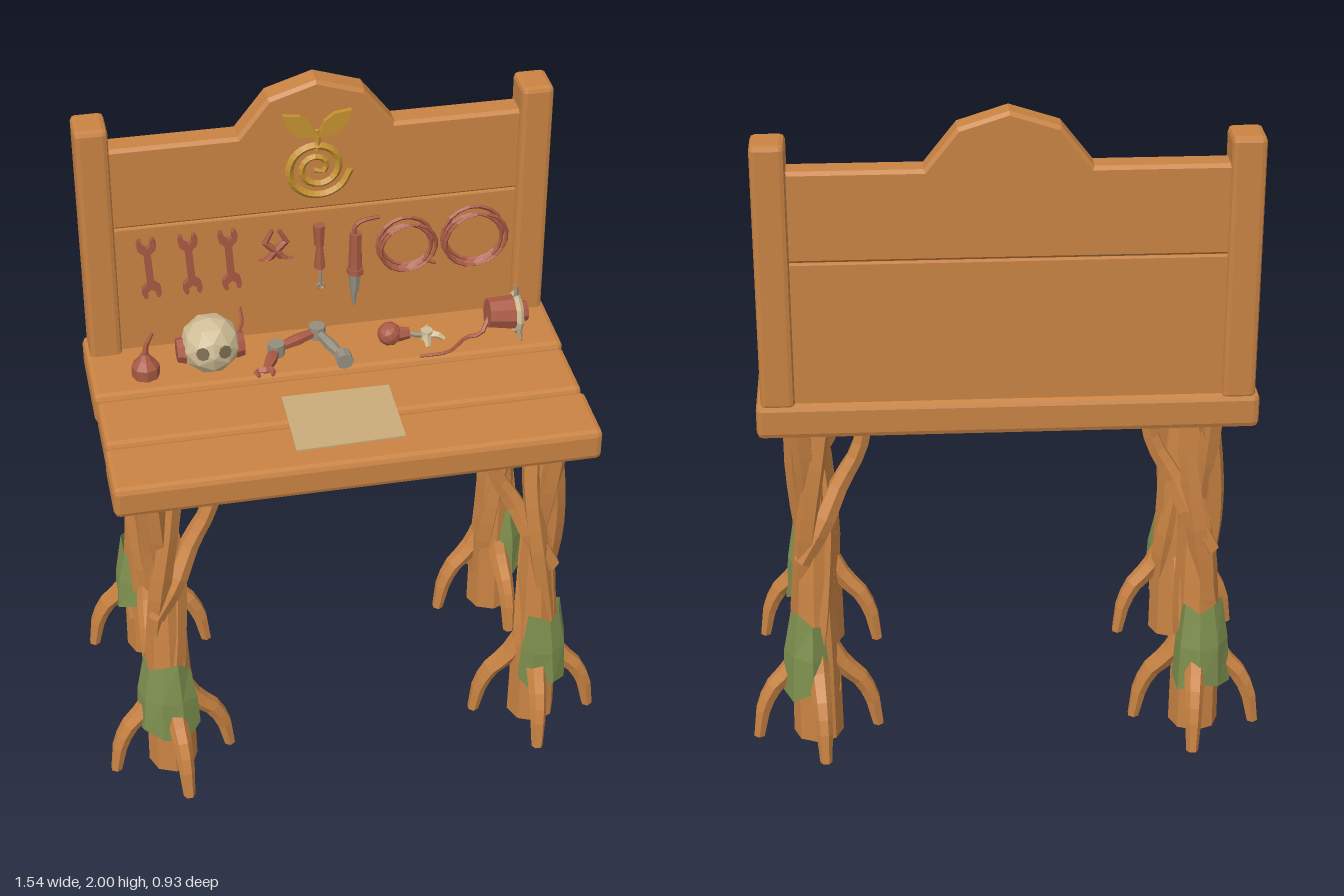
import * as THREE from 'three';
import { RoundedBoxGeometry } from 'three/addons/geometries/RoundedBoxGeometry.js';

const paint = (name, color, open) => {
  const m = new THREE.MeshStandardMaterial({ color });
  m.name = name;
  if (open) m.side = THREE.DoubleSide;
  return m;
};
const V = (x, y, z) => new THREE.Vector3(x, y, z);

export function createModel() {
  const wood = paint('wood', 0xc98343), moss = paint('moss', 0x7d8f4e, true);
  const rust = paint('rustRed', 0xa95a44), gold = paint('gold', 0xc4912f);
  const shell = paint('cream', 0xd0bd96), sheet = paint('paper', 0xc9ab7a);
  const metal = paint('metal', 0x938e7e), dark = paint('darkHollow', 0x7a6a50);
  const root = new THREE.Group();
  root.name = 'workbench';

  // Faceted mesh
  const add = (name, geo, mat, x = 0, y = 0, z = 0, parent = root) => {
    const g = geo.index ? geo.toNonIndexed() : geo;
    g.computeVertexNormals();
    const m = new THREE.Mesh(g, mat);
    m.name = name;
    m.position.set(x, y, z);
    parent.add(m);
    return m;
  };
  const slab = (name, x0, x1, y0, y1, z0, z1, r = 0.015, mat = wood) =>
    add(name, new RoundedBoxGeometry(x1 - x0, y1 - y0, z1 - z0, 1, r), mat, (x0 + x1) / 2, (y0 + y1) / 2, (z0 + z1) / 2);

  // Tapered tube with flat caps: radii are spread evenly along the path
  const limb = (points, radii, sides = 6, steps = 10) => {
    const curve = new THREE.CatmullRomCurve3(points);
    const geo = new THREE.TubeGeometry(curve, steps, 1, sides, false);
    const p = geo.attributes.position, v = V(), ring = sides + 1;
    const radius = t => {
      const f = t * (radii.length - 1), i = Math.min(Math.floor(f), radii.length - 2);
      return THREE.MathUtils.lerp(radii[i], radii[i + 1], f - i);
    };
    for (let i = 0; i < p.count; i++) {
      const k = Math.floor(i / ring), end = k === 0 || k === steps;
      const c = curve.getPointAt(k / steps);
      // the rings next to the ends slide out to the ends, the end rings close to a point
      const near = k === 1 ? 0 : k === steps - 1 ? 1 : k / steps;
      v.fromBufferAttribute(p, i).sub(c).multiplyScalar(end ? 0 : radius(near)).add(curve.getPointAt(end ? k / steps : near));
      p.setXYZ(i, v.x, Math.max(0, v.y), v.z);
    }
    return geo;
  };
  const flat = (pts, depth) => new THREE.ExtrudeGeometry(new THREE.Shape(pts.map(a => new THREE.Vector2(a[0], a[1]))), { depth, bevelEnabled: false });

  // Table top
  slab('backPlank', -0.71, 0.71, 1.05, 1.155, -0.395, -0.068, 0.018);
  slab('middlePlank', -0.705, 0.705, 1.05, 1.15, -0.064, 0.158, 0.018);
  slab('frontPlank', -0.708, 0.708, 1.05, 1.15, 0.164, 0.373, 0.018);

  // Posts and back board
  for (const s of [-1, 1]) slab('post', s * 0.648 - 0.048, s * 0.648 + 0.048, 1.14, 1.92, -0.392, -0.272);
  slab('lowerBackBoard', -0.61, 0.61, 1.14, 1.577, -0.377, -0.297, 0.006);
  const crest = [[-0.61, 1.575], [0.61, 1.575], [0.61, 1.84], [0.23, 1.84], [0.14, 1.955], [0, 2], [-0.14, 1.955], [-0.23, 1.84], [-0.61, 1.84]];
  add('upperBackBoard', new THREE.ExtrudeGeometry(new THREE.Shape(crest.map(a => new THREE.Vector2(...a))),
    { depth: 0.06, bevelThickness: 0.01, bevelSize: 0.01, bevelOffset: -0.01, bevelSegments: 1 }), wood, 0, 0, -0.367);

  // Twisted tree legs
  const leg = (sx, sz, mossAngle, turn) => {
    const g = new THREE.Group();
    g.name = 'leg';
    g.position.set(sx * 0.572, 0, sz * 0.27);
    root.add(g);
    const P = (x, y, z) => V(x * sx, y, z * sz);
    add('trunk', limb([P(0, 0, 0), P(0, 0.2, 0), P(0, 0.45, -0.01), P(-0.005, 0.75, -0.02), P(0.01, 1.06, -0.02)],
      [0.075, 0.072, 0.06, 0.038, 0.035], 8), wood, 0, 0, 0, g);
    for (let k = 0; k < 3; k++) {
      const pts = [];
      for (let i = 0; i <= 8; i++) {
        const y = 0.14 + i * 0.115, a = turn + k * 2.094 + y * 4.2;
        const r = 0.036 + 0.014 * Math.abs(y - 0.6);
        pts.push(P(Math.cos(a) * r, y, Math.sin(a) * r - 0.012));
      }
      add('twistedStem', limb(pts, [0.036, 0.04, 0.03, 0.034, 0.03, 0.034], 5, 12), wood, 0, 0, 0, g);
    }
    for (const s of [-1, 1])
      add('upperFork', limb([P(0, 0.74, -0.015), P(0.01, 0.9, -0.015 + s * 0.035), P(0.02, 1.06, -0.015 + s * 0.058)], [0.03, 0.032, 0.03], 5, 6), wood, 0, 0, 0, g);
    add('branch', limb([P(0.03, 0.6, 0.02), P(-0.035, 0.72, 0.01), P(-0.085, 0.83, -0.02), P(-0.145, 0.94, -0.03), P(-0.17, 1.06, -0.03)],
      [0.03, 0.034, 0.03, 0.025, 0.027], 6), wood, 0, 0, 0, g);
    // Roots arch out to the ground
    for (let k = 0; k < 4; k++) {
      const a = k * Math.PI / 2 + 0.13, c = Math.cos(a), s = Math.sin(a);
      const at = (r, y) => P(c * r, y, s * r);
      add('root', limb([at(0.03, 0.32), at(0.075, 0.23), at(0.135, 0.165), at(0.17, 0.08), at(0.182, 0)],
        [0.03, 0.032, 0.028, 0.024, 0.018], 6, 8), wood, 0, 0, 0, g);
    }
    // Ragged moss wrap on the outer side
    const geo = new THREE.CylinderGeometry(0.075, 0.108, 0.24, 6, 2, true, mossAngle - 1.9, 3.8);
    const p = geo.attributes.position;
    for (let i = 0; i < p.count; i++) {
      const row = Math.floor(i / 7), col = i % 7, edge = col === 0 || col === 6 ? 0.7 : 1;
      const rag = [0, 0.03, -0.01, 0.02, 0.035, -0.02, -0.04][col] * (row === 1 ? 0.3 : 1);
      const f = edge * (row === 1 ? 1.06 : 1 - 0.04 * (col % 2));
      p.setXYZ(i, p.getX(i) * f, p.getY(i) + (row === 2 ? -rag * 0.7 : rag * 0.7), p.getZ(i) * f);
    }
    add('mossWrap', geo, moss, 0, 0.295, 0, g);
  };
  leg(-1, 1, -0.35, 0.3);
  leg(1, 1, 1.0, 1.2);
  leg(1, -1, 1.8, 0.3);
  leg(-1, -1, -2.5, 1.2);

  // Carved swirl and leaves on the crest
  const swirl = [];
  for (let i = 0; i <= 26; i++) {
    const t = i / 26, a = -0.15 - t * 15, r = 0.1 - 0.088 * t;
    swirl.push(V(Math.cos(a) * r, 1.72 + Math.sin(a) * r, -0.293));
  }
  add('swirlOrnament', limb(swirl, [0.011, 0.013, 0.012, 0.011, 0.009], 4, 46), gold);
  add('ornamentStem', limb([V(0, 1.78, -0.293), V(0.003, 1.81, -0.293), V(0, 1.845, -0.293)], [0.011, 0.009, 0.009], 4, 5), gold);
  for (const s of [-1, 1]) {
    const pts = [[0, 1.825], [0.055, 1.83], [0.085, 1.86], [0.1, 1.905], [0.05, 1.898], [0.02, 1.875]].map(a => [a[0] * s, a[1]]);
    add('ornamentLeaf', flat(s > 0 ? pts : pts.reverse(), 0.02), gold, 0, 0, -0.302);
  }

  // Hanging wrenches
  const half = [[0.01, 0.05], [0.026, 0.066], [0.029, 0.085], [0.022, 0.102], [0.013, 0.098], [0.012, 0.08], [0, 0.071]];
  const head = [...half, ...half.slice(0, 6).reverse().map(a => [-a[0], a[1]])];
  const wrench = [...head, ...head.map(a => [-a[0], -a[1]])];
  for (const x of [-0.505, -0.383, -0.265]) add('wrench', flat(wrench, 0.02), rust, x, 1.44, -0.298).rotation.z = 0.06;

  // Pliers
  for (const s of [-1, 1])
    add('pliersArm', limb([V(-s * 0.038, -0.1, 0), V(-s * 0.046, -0.05, 0), V(0, 0.03, 0), V(s * 0.032, 0.06, 0), V(s * 0.01, 0.1, 0)],
      [0.008, 0.01, 0.012, 0.012, 0.007], 5), rust, -0.127, 1.425, -0.288);

  // Screwdriver
  const rod = (name, r1, r2, h, mat, x, y, z, n = 7) => add(name, new THREE.CylinderGeometry(r1, r2, h, n), mat, x, y, z);
  rod('screwdriverHandle', 0.019, 0.015, 0.07, rust, 0.003, 1.495, -0.283);
  rod('screwdriverGrip', 0.01, 0.018, 0.075, rust, 0.004, 1.42, -0.283);
  rod('screwdriverShaft', 0.005, 0.005, 0.06, metal, 0.006, 1.355, -0.283, 5);
  add('screwdriverTip', new THREE.TorusGeometry(0.01, 0.004, 4, 8), metal, 0.008, 1.315, -0.283);

  // Soldering iron
  rod('ironHandle', 0.018, 0.022, 0.13, rust, 0.112, 1.425, -0.28);
  rod('ironCollar', 0.027, 0.027, 0.018, rust, 0.112, 1.36, -0.28);
  rod('ironBarrel', 0.02, 0.014, 0.06, metal, 0.11, 1.32, -0.28);
  rod('ironTip', 0.012, 0.005, 0.055, metal, 0.108, 1.263, -0.28);
  add('ironCord', limb([V(0.11, 1.48, -0.28), V(0.108, 1.51, -0.28), V(0.13, 1.53, -0.28), V(0.185, 1.535, -0.285)], [0.008, 0.007, 0.006], 5, 8), rust);

  // Coiled cables
  for (const [cx, cy, r] of [[0.262, 1.44, 0.078], [0.468, 1.443, 0.088]])
    for (let i = 0; i < 4; i++) {
      const loop = add('cableLoop', new THREE.TorusGeometry(r + (i % 2) * 0.007, 0.006, 4, 18), rust,
        cx + 0.005 * Math.cos(i * 2), cy + 0.005 * Math.sin(i * 2), -0.284 + i * 0.012);
      loop.rotation.set(0.06 * (i - 1.5), 0.1 * ((i % 2) - 0.5), i);
    }
  add('cableTail', limb([V(0.275, 1.36, -0.27), V(0.32, 1.375, -0.265), V(0.355, 1.36, -0.27)], [0.006, 0.005], 4, 6), rust);

  // Oil can
  const can = [[0, 0], [0.042, 0], [0.042, 0.04], [0.024, 0.062], [0.012, 0.08], [0, 0.08]].map(a => new THREE.Vector2(...a));
  add('oilCan', new THREE.LatheGeometry(can, 8), rust, -0.545, 1.15, -0.155);
  add('oilSpout', limb([V(-0.545, 1.22, -0.155), V(-0.54, 1.26, -0.155), V(-0.52, 1.3, -0.155)], [0.012, 0.008, 0.005], 5, 5), rust);

  // Round robot head
  add('roundHead', new THREE.IcosahedronGeometry(0.09, 1), shell, -0.35, 1.24, -0.16);
  for (const s of [-1, 1]) {
    rod('earCap', 0.036, 0.042, 0.025, rust, -0.35 + s * 0.088, 1.225, -0.16, 8).rotation.z = -s * Math.PI / 2;
    const eye = add('eyeHollow', new THREE.CylinderGeometry(0.02, 0.02, 0.006, 8), dark, -0.35 + s * 0.033, 1.258, -0.079);
    eye.rotation.set(Math.PI / 2 - 0.2, 0, -s * 0.38);
  }
  add('headAntenna', limb([V(-0.27, 1.25, -0.16), V(-0.25, 1.275, -0.19), V(-0.245, 1.29, -0.25)], [0.007, 0.005], 4, 5), rust);

  // Jointed arm
  const joints = [V(-0.195, 1.168, -0.09), V(-0.15, 1.18, -0.175), V(-0.015, 1.185, -0.235), V(0.04, 1.175, -0.095)];
  for (let i = 0; i < 3; i++) {
    const a = joints[i], b = joints[i + 1], mid = a.clone().lerp(b, 0.5);
    add('armSegment', limb([a, mid, b], [0.012, 0.019, 0.013], 6, 6), i === 1 ? rust : i ? metal : rust);
    const ball = rod('armJoint', 0.026, 0.026, 0.04, metal, b.x, b.y, b.z, 8);
    ball.rotation.x = i === 2 ? Math.PI / 2 : 0;
  }
  for (const s of [-1, 1])
    add('armClaw', limb([joints[0], V(-0.2 + s * 0.025, 1.168, -0.09), V(-0.2 + s * 0.02, 1.165, -0.065)], [0.012, 0.009, 0.006], 4, 5), rust);

  // Small motor with a three-pronged gripper
  add('motorBall', new THREE.IcosahedronGeometry(0.037, 1), rust, 0.195, 1.188, -0.175);
  rod('motorCollar', 0.018, 0.024, 0.035, rust, 0.238, 1.185, -0.173).rotation.z = -Math.PI / 2;
  add('gripperRod', limb([V(0.25, 1.185, -0.173), V(0.28, 1.178, -0.165), V(0.31, 1.18, -0.165)], [0.008, 0.008], 5, 5), metal);
  rod('gripperHub', 0.02, 0.02, 0.03, shell, 0.308, 1.178, -0.165, 6);
  for (const a of [-1.3, 0.35, 1.75])
    add('gripperProng', limb([V(0.308, 1.175, -0.165), V(0.308 + Math.cos(a) * 0.03, 1.18, -0.165 + Math.sin(a) * 0.03),
      V(0.312 + Math.cos(a) * 0.05, 1.165, -0.165 + Math.sin(a) * 0.05)], [0.013, 0.012, 0.007], 4, 5), shell);

  // Large motor with ring, fins and cord
  const tilt = rod('motorBody', 0.055, 0.045, 0.1, rust, 0.545, 1.222, -0.17, 9);
  tilt.rotation.z = -Math.PI / 2 - 0.08;
  rod('motorHub', 0.03, 0.038, 0.03, rust, 0.603, 1.22, -0.17, 8).rotation.z = -Math.PI / 2;
  add('motorRing', new THREE.TorusGeometry(0.058, 0.011, 4, 10), shell, 0.585, 1.218, -0.17).rotation.y = Math.PI / 2;
  for (let k = 0; k < 3; k++) {
    const a = k * 2.094 + Math.PI / 2, fin = V(0, Math.sin(a) * 0.05, Math.cos(a) * 0.05);
    const tip = V(0.583, 1.218, -0.17).addScaledVector(fin, 1.9);
    add('motorFin', limb([V(0.583, 1.218, -0.17).add(fin), tip.clone().lerp(V(0.583, 1.218, -0.17), 0.2), tip], [0.01, 0.007, 0.004], 4, 4), metal);
  }
  add('motorCord', limb([V(0.5, 1.215, -0.165), V(0.47, 1.175, -0.14), V(0.43, 1.16, -0.15), V(0.36, 1.158, -0.09), V(0.27, 1.157, -0.085)], [0.008, 0.006, 0.005], 5, 12), rust);

  // Paper sheet
  add('paperSheet', flat([[-0.175, -0.293], [0.145, -0.285], [0.148, -0.035], [-0.172, -0.033]], 0.005), sheet, 0, 1.151, 0).rotation.x = -Math.PI / 2;
  return root;
}
